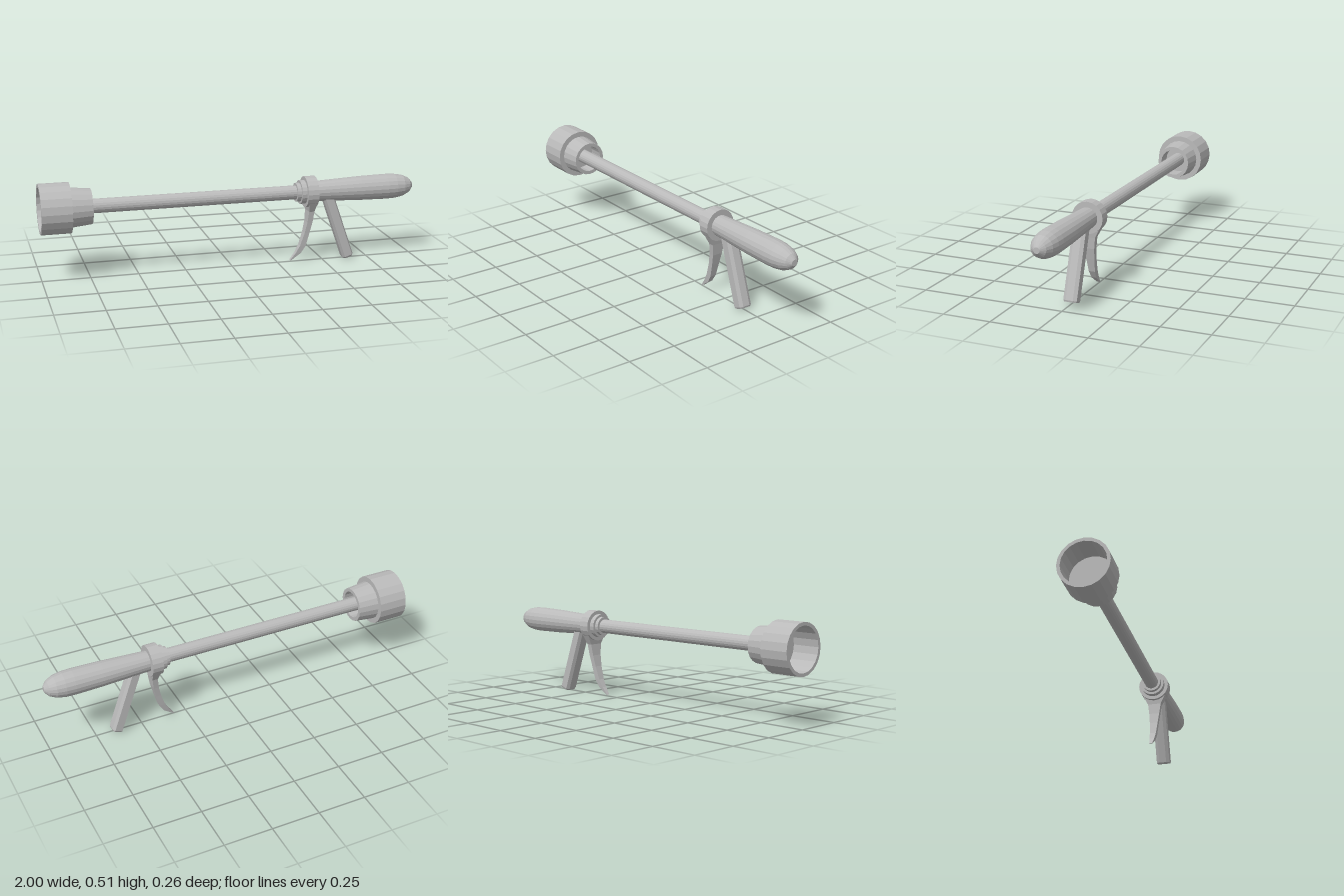
import * as THREE from 'three';

const AXIS_Y = 0.393;
const SIDES = 20;

export function createModel() {
  const group = new THREE.Group();
  const grey = new THREE.MeshStandardMaterial({ color: 0xbababa });
  grey.name = 'plain grey';

  // Faceted mesh: every face gets its own normal
  const add = (name, geometry) => {
    const flat = geometry.index ? geometry.toNonIndexed() : geometry;
    flat.computeVertexNormals();
    const mesh = new THREE.Mesh(flat, grey);
    mesh.name = name;
    group.add(mesh);
    return mesh;
  };

  // Turned part along the x axis from [x, radius] pairs
  const turned = (name, profile) => {
    const points = profile.map(([x, r]) => new THREE.Vector2(r, x));
    const geometry = new THREE.LatheGeometry(points, SIDES).rotateZ(-Math.PI / 2);
    add(name, geometry).position.y = AXIS_Y;
  };

  // Hollow cup with a narrower neck, recessed around the rod
  turned('cup', [
    [-0.855, 0], [-0.855, 0.113], [-1, 0.113], [-1, 0.13], [-0.845, 0.13],
    [-0.845, 0.102], [-0.737, 0.091], [-0.737, 0.072], [-0.82, 0.072], [-0.82, 0],
  ]);

  turned('rod', [[-0.83, 0], [-0.83, 0.037], [0.36, 0.037], [0.36, 0]]);

  turned('collar', [
    [0.345, 0], [0.345, 0.05], [0.366, 0.05], [0.366, 0.063], [0.393, 0.063],
    [0.393, 0.082], [0.452, 0.082], [0.452, 0],
  ]);

  turned('handle', [
    [0.44, 0], [0.44, 0.053], [0.54, 0.057], [0.7, 0.064], [0.85, 0.067],
    [0.9, 0.065], [0.945, 0.057], [0.98, 0.04], [1, 0.016], [1, 0],
  ]);

  // Curved trigger from sections: [y, left x, right x, half width]
  const sections = [
    [0.385, 0.396, 0.449, 0.08], [0.34, 0.405, 0.449, 0.062],
    [0.29, 0.412, 0.441, 0.036], [0.23, 0.406, 0.434, 0.028],
    [0.17, 0.393, 0.42, 0.022], [0.1, 0.37, 0.402, 0.017],
    [0.06, 0.348, 0.378, 0.013], [0.02, 0.318, 0.325, 0.008],
  ];
  const positions = [];
  const indices = [];
  sections.forEach(([y, a, b, w]) => {
    positions.push(a, y, w, b, y, w, b, y, -w, a, y, -w);
  });
  for (let i = 0; i < sections.length - 1; i++) {
    for (let j = 0; j < 4; j++) {
      const p = i * 4 + j;
      const q = i * 4 + ((j + 1) % 4);
      indices.push(p, p + 4, q, q, p + 4, q + 4);
    }
  }
  const end = (sections.length - 1) * 4;
  indices.push(0, 1, 2, 0, 2, 3, end, end + 2, end + 1, end, end + 3, end + 2);
  const trigger = new THREE.BufferGeometry();
  trigger.setAttribute('position', new THREE.Float32BufferAttribute(positions, 3));
  trigger.setIndex(indices);
  add('trigger', trigger);

  // Slanted grip with chamfered corners and a small bevel at the foot
  const t = 0.026, tc = 0.018, w = 0.032, wc = 0.018;
  const outline = new THREE.Shape([
    [t, wc], [tc, w], [-tc, w], [-t, wc], [-t, -wc], [-tc, -w], [tc, -w], [t, -wc],
  ].map(([x, y]) => new THREE.Vector2(x, y)));
  const grip = new THREE.ExtrudeGeometry(outline, {
    depth: 0.372, bevelEnabled: true, bevelSize: 0.004, bevelThickness: 0.008, bevelSegments: 1,
  });
  // Extrusion runs downwards from the handle
  grip.rotateX(Math.PI / 2);
  const gripMesh = add('grip', grip);
  gripMesh.position.set(0.517, 0.38, 0);
  gripMesh.rotation.z = 0.335;

  return group;
}
